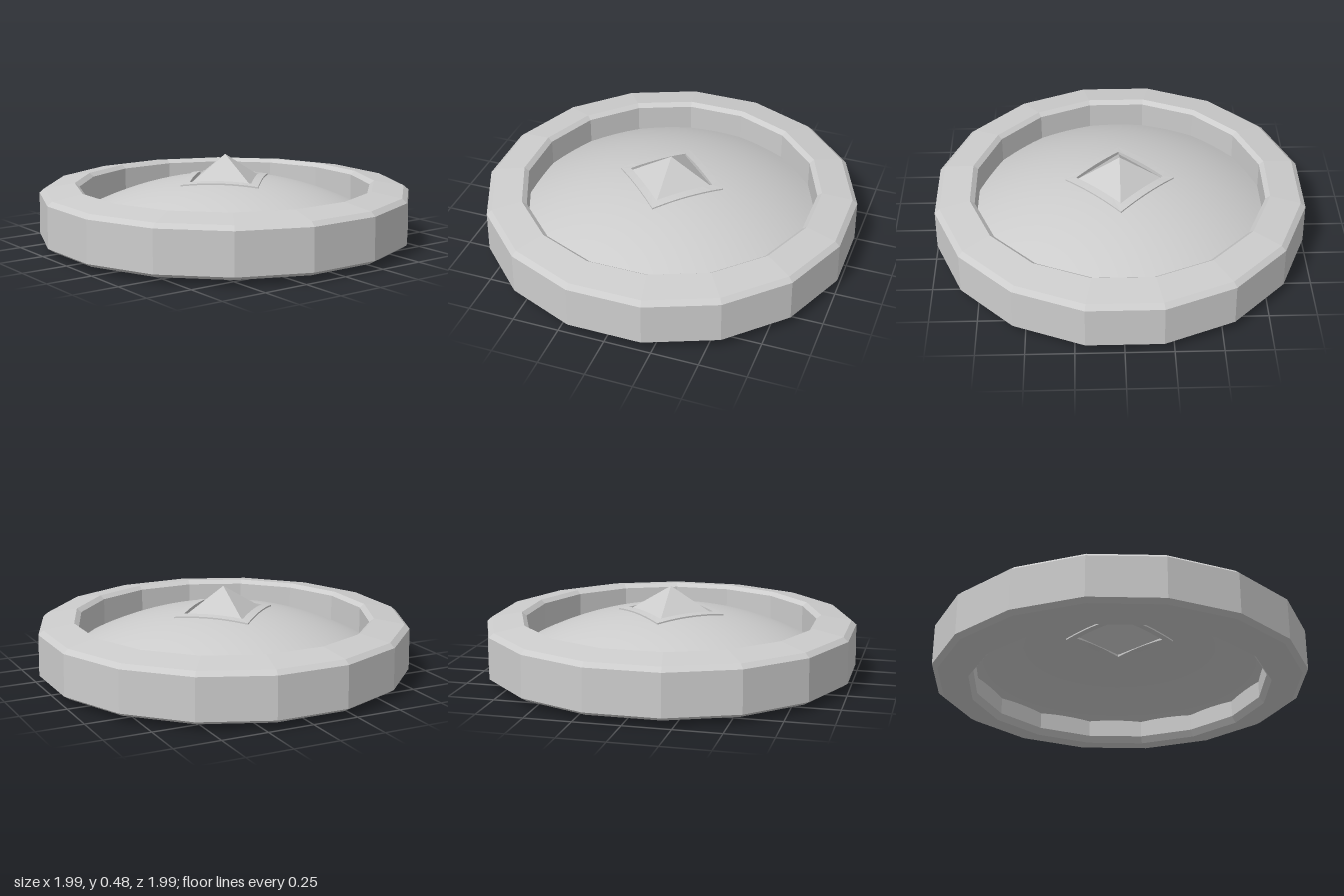
import * as THREE from 'three';

const flat = (g) => {
  const f = g.toNonIndexed();
  f.computeVertexNormals();
  return f;
};

// Height of the domed plate's upper surface at a given radius
const domeY = (r) => 0.36 - 0.32 * r * r;

// Radius of a diamond with half diagonal d at angle a
const diamond = (d, a) => d / (Math.abs(Math.cos(a)) + Math.abs(Math.sin(a)));

// Skin a closed band: point(i, angle) gives [radius, y] of cross-section point i
function band(count, sides, point) {
  const pos = [], idx = [];
  for (let i = 0; i < count; i++) {
    for (let j = 0; j < sides; j++) {
      const a = (j / sides) * Math.PI * 2;
      const [r, y] = point(i, a);
      pos.push(r * Math.sin(a), y, r * Math.cos(a));
      if (i === count - 1) continue;
      const k = (j + 1) % sides;
      const p = i * sides + j, q = i * sides + k;
      idx.push(p, q, p + sides, q, q + sides, p + sides);
    }
  }
  const g = new THREE.BufferGeometry();
  g.setAttribute('position', new THREE.Float32BufferAttribute(pos, 3));
  g.setIndex(idx);
  g.computeVertexNormals();
  return g;
}

export function createModel() {
  const group = new THREE.Group();
  const grey = new THREE.MeshStandardMaterial({ color: 0xcccccc });
  const add = (name, geometry) => {
    const mesh = new THREE.Mesh(geometry, grey);
    mesh.name = name;
    group.add(mesh);
  };

  // Sixteen-sided bevelled rim
  const profile = [
    [0.82, 0], [0.985, 0.03], [1.015, 0.05], [1.012, 0.275], [0.985, 0.298],
    [0.82, 0.325], [0.795, 0.305], [0.795, 0.035], [0.82, 0],
  ].map(([r, y]) => new THREE.Vector2(r, y));
  add('rim', flat(new THREE.LatheGeometry(profile, 16, Math.PI / 16)));

  // Thin domed plate, its opening morphing from diamond to circle
  const rows = 10, sides = 64;
  const dome = (drop, flip) => band(rows, sides, (i, a) => {
    const t = flip ? 1 - i / (rows - 1) : i / (rows - 1);
    const r = THREE.MathUtils.lerp(0.81, diamond(0.25, a), t);
    return [r, domeY(r) - drop];
  });
  add('domeTop', dome(0, false));
  add('domeUnderside', dome(0.03, true));

  // Raised diamond frame around the boss, proud of both sides of the plate
  const section = [[0.295, -0.038], [0.295, 0.008], [0.235, 0.008], [0.235, -0.038], [0.295, -0.038]];
  add('bossFrame', flat(band(section.length, 32, (i, a) => {
    const r = diamond(section[i][0], a);
    return [r, domeY(r) + section[i][1]];
  })));

  // Hollow pyramid boss: outer faces and inner faces
  const pyramid = (radius, bottom, top) => {
    const g = new THREE.ConeGeometry(radius, top - bottom, 4, 1, true);
    g.translate(0, (top + bottom) / 2, 0);
    return flat(g);
  };
  add('boss', pyramid(0.245, 0.33, 0.48));
  const inner = pyramid(0.24, 0.315, 0.46);
  // Reverse the corners so the hollow shows from below
  const p = inner.attributes.position;
  for (let i = 0; i < p.count; i += 3) {
    const b = new THREE.Vector3().fromBufferAttribute(p, i + 1);
    const c = new THREE.Vector3().fromBufferAttribute(p, i + 2);
    p.setXYZ(i + 1, c.x, c.y, c.z);
    p.setXYZ(i + 2, b.x, b.y, b.z);
  }
  inner.computeVertexNormals();
  add('bossHollow', inner);

  return group;
}
